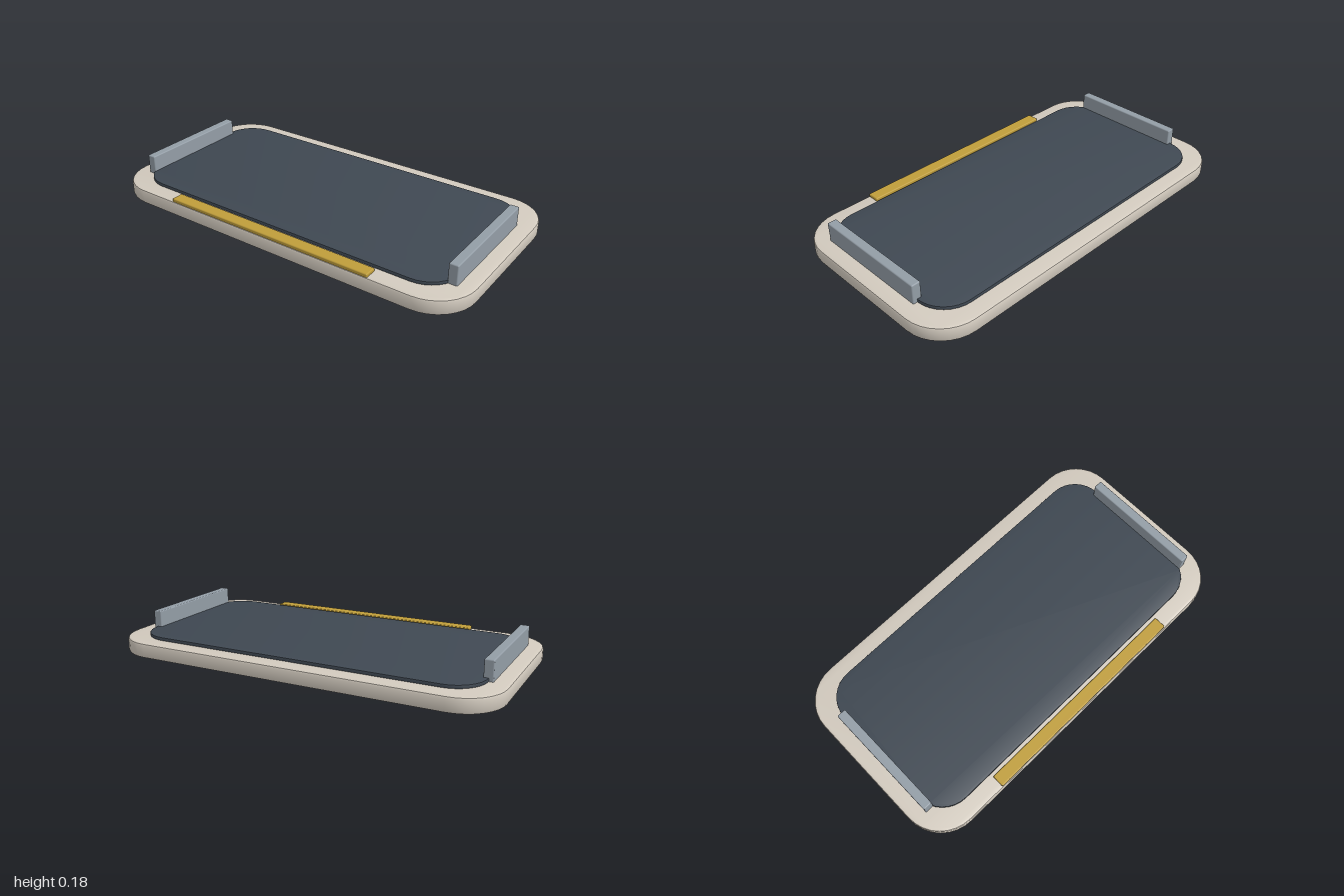
import * as THREE from 'three';
import { toCreasedNormals } from 'three/addons/utils/BufferGeometryUtils.js';
import { RoundedBoxGeometry } from 'three/addons/geometries/RoundedBoxGeometry.js';

const mat = (name, color) => new THREE.MeshStandardMaterial({ name, color });

// Horizontal slab with rounded corners and softened edges, standing on y = 0
function slab(w, d, h, r, bevel) {
  const x = w / 2, z = d / 2, s = new THREE.Shape();
  s.moveTo(-x + r, -z);
  s.lineTo(x - r, -z);
  s.absarc(x - r, -z + r, r, -Math.PI / 2, 0);
  s.lineTo(x, z - r);
  s.absarc(x - r, z - r, r, 0, Math.PI / 2);
  s.lineTo(-x + r, z);
  s.absarc(-x + r, z - r, r, Math.PI / 2, Math.PI);
  s.lineTo(-x, -z + r);
  s.absarc(-x + r, -z + r, r, Math.PI, Math.PI * 1.5);
  const g = new THREE.ExtrudeGeometry(s, {
    depth: h - 2 * bevel, curveSegments: 4, bevelEnabled: bevel > 0,
    bevelThickness: bevel, bevelSize: bevel, bevelOffset: -bevel, bevelSegments: 2,
  });
  g.translate(0, 0, bevel).rotateX(-Math.PI / 2);
  return toCreasedNormals(g, 0.6);
}

export function createModel() {
  const group = new THREE.Group();
  group.name = 'tray';
  const cream = mat('warm cream', 0xd2cabe);
  const slate = mat('dark slate', 0x3f4852);
  const steel = mat('steel grey', 0x939da6);
  const gold = mat('brass', 0xbf9d3a);

  const add = (name, geometry, material, x, y, z) => {
    const m = new THREE.Mesh(geometry, material);
    m.name = name;
    m.position.set(x, y, z);
    group.add(m);
  };

  // Base and inset pad
  add('base', slab(2, 1.04, 0.076, 0.21, 0.012), cream, 0, 0, 0);
  add('pad', slab(1.8, 0.864, 0.02, 0.16, 0.002), slate, 0, 0.072, 0);

  // Side rails, set slightly forward
  for (const side of [-1, 1]) {
    add(side > 0 ? 'leftRail' : 'rightRail',
      new RoundedBoxGeometry(0.047, 0.106, 0.62, 2, 0.006), steel, side * 0.898, 0.123, 0.04);
  }

  // Front accent strip
  add('frontStrip', new RoundedBoxGeometry(1.16, 0.022, 0.064, 2, 0.006), gold, 0, 0.081, 0.483);
  return group;
}
